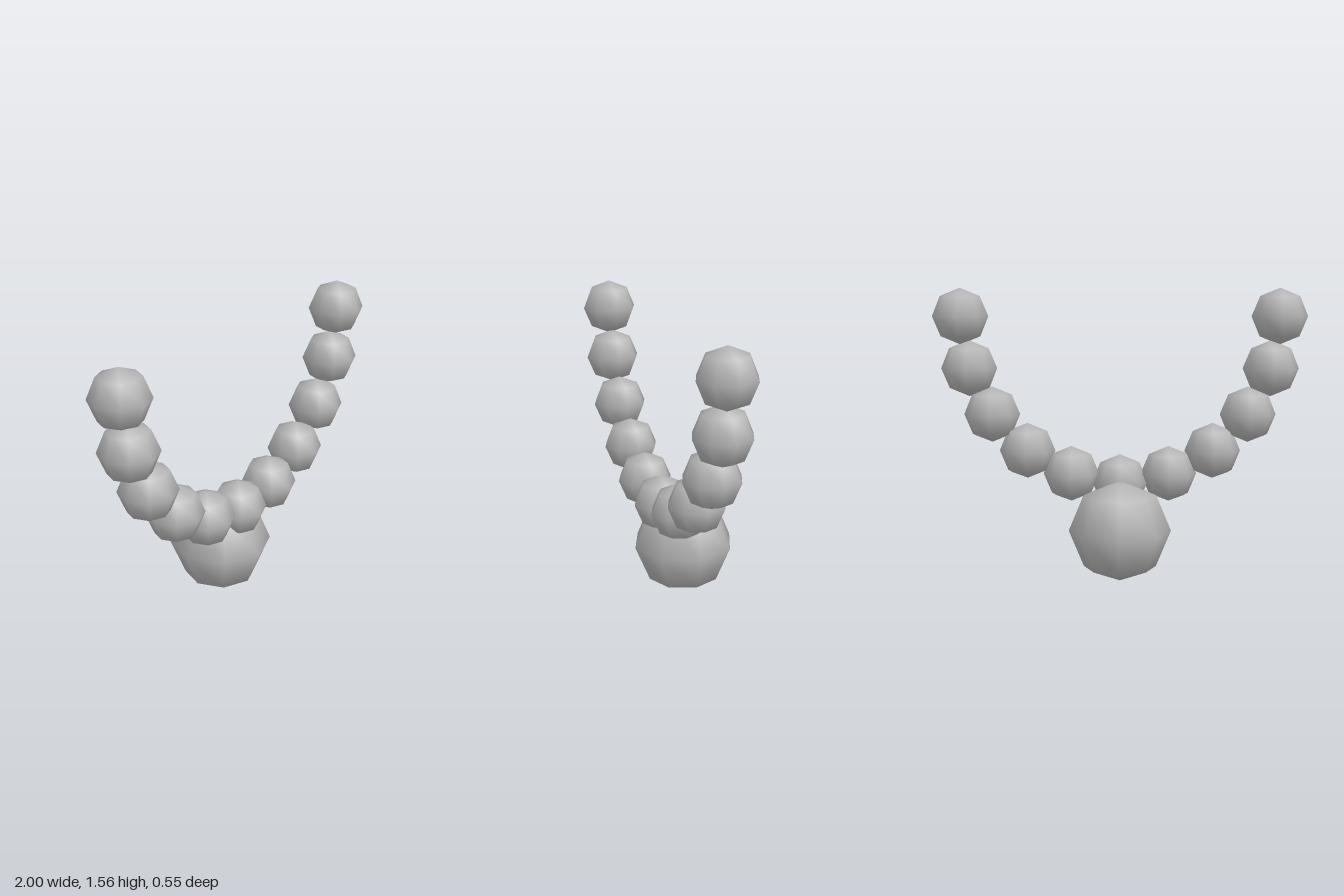
import * as THREE from 'three';

export function createModel() {
  const model = new THREE.Group();
  model.name = 'beadNecklace';
  const grey = new THREE.MeshStandardMaterial({ color: 0xb4b4b4 });
  grey.name = 'grey';

  // Low-poly ball with smooth normals
  const ball = (r) => new THREE.SphereGeometry(r, 8, 4);
  const place = (name, geometry, x, y, z) => {
    const mesh = new THREE.Mesh(geometry, grey);
    mesh.name = name;
    mesh.position.set(x, y, z);
    model.add(mesh);
  };

  // Large ball hanging at the bottom
  place('pendant', ball(0.273), 0, 0.273, 0);

  // String of beads, mirrored from the middle outwards
  const beadGeometry = ball(0.15);
  const beadZ = 0.123;
  place('middleBead', beadGeometry, 0, 0.517, beadZ);
  const arc = [[0.262, 0.562], [0.498, 0.688], [0.686, 0.885], [0.805, 1.132], [0.848, 1.408]];
  arc.forEach(([x, y], i) => {
    place(`leftBead${i + 1}`, beadGeometry, x, y, beadZ);
    place(`rightBead${i + 1}`, beadGeometry, -x, y, beadZ);
  });
  return model;
}
